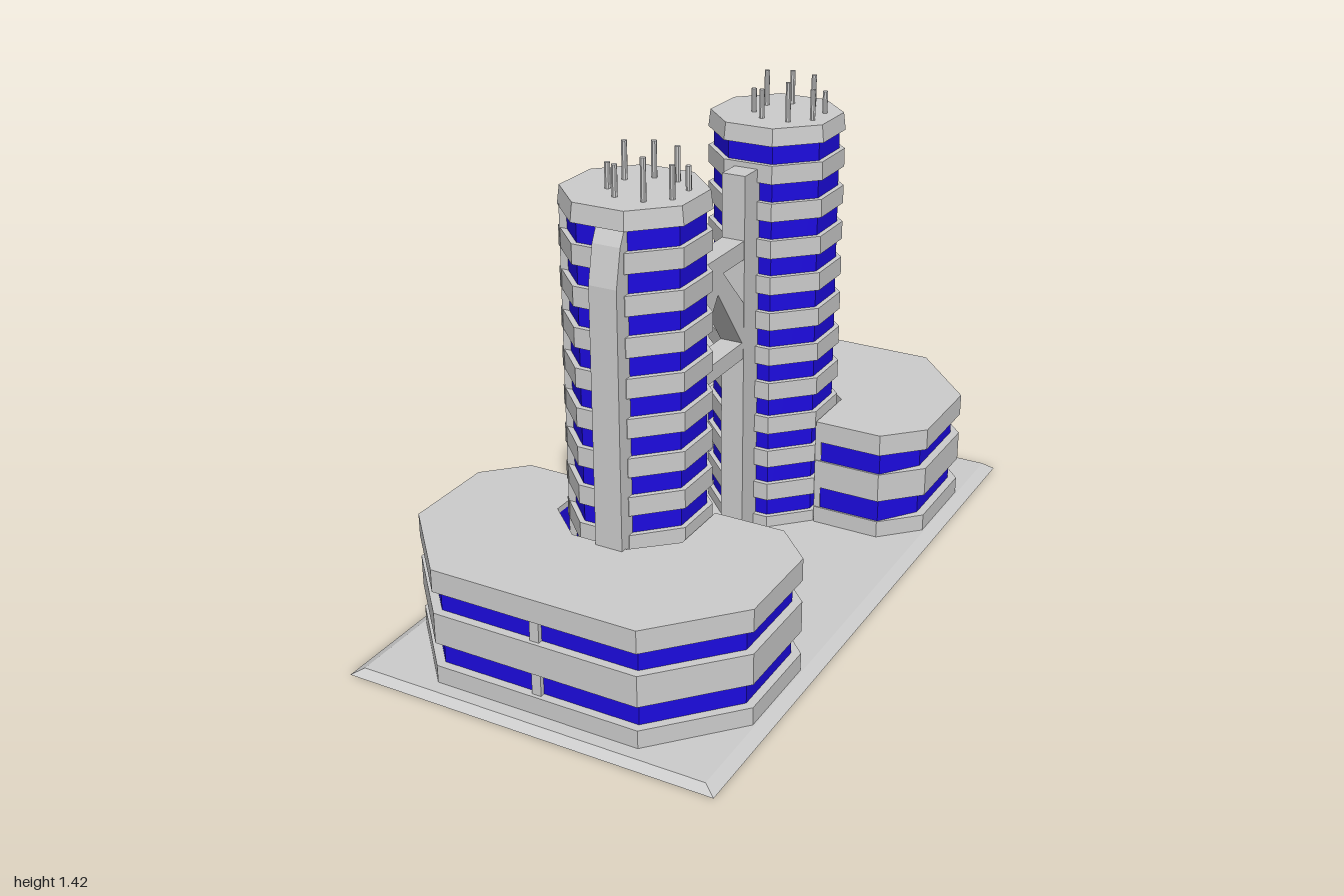
import * as THREE from 'three';

const grey = new THREE.MeshStandardMaterial({ color: 0xcccccc, flatShading: true });
const blue = new THREE.MeshStandardMaterial({ color: 0x1c0adf, flatShading: true });
const MID = -0.015; // the two halves mirror about this z

function add(parent, name, geometry, material = grey) {
  const mesh = new THREE.Mesh(geometry, material);
  mesh.name = name;
  parent.add(mesh);
  return mesh;
}

function box(x0, x1, y0, y1, za, zb) {
  return new THREE.BoxGeometry(x1 - x0, y1 - y0, Math.abs(zb - za))
    .translate((x0 + x1) / 2, (y0 + y1) / 2, (za + zb) / 2);
}

// Octagonal slab with flat sides on the axes; half sizes are measured across the flats
function octagon(y0, y1, halfBottom, halfTop = halfBottom) {
  const k = 1 / Math.cos(Math.PI / 8);
  return new THREE.CylinderGeometry(halfTop * k, halfBottom * k, y1 - y0, 8)
    .rotateY(Math.PI / 8).translate(0, (y0 + y1) / 2, 0);
}

const toShape = (pts) => new THREE.Shape(pts.map(([a, b]) => new THREE.Vector2(a, b)));

// Plan outline [x, z] raised from y0 to y1
function slab(outline, y0, y1) {
  return new THREE.ExtrudeGeometry(toShape(outline.map(([x, z]) => [x, -z])), { depth: y1 - y0, bevelEnabled: false })
    .rotateX(-Math.PI / 2).translate(0, y0, 0);
}

// Side outline [z, y] extruded along x
function sidePlate(shape, x0, x1) {
  return new THREE.ExtrudeGeometry(shape, { depth: x1 - x0, bevelEnabled: false })
    .rotateY(-Math.PI / 2).scale(1, 1, 1).translate(x1, 0, 0);
}

// Half of the podium plan with its notch for the tower, mirrored in x; s picks front or rear
function podiumOutline(s, inset, innerInset) {
  const half = [
    [0.31 - inset * 0.4, 0.953 - inset], [0.52 - inset, 0.725 - inset * 0.4],
    [0.52 - inset, 0.44 + inset * 0.4], [0.41, 0.33 + innerInset],
    [0.198, 0.33 + innerInset], [0.198, 0.517], [0.085, 0.62],
  ];
  const pts = [...half, ...half.map(([x, d]) => [-x, d]).reverse()];
  return pts.map(([x, d]) => [x, MID + s * d]);
}

function podium(s) {
  const g = new THREE.Group();
  g.name = 'podium';
  add(g, 'podiumWindows', slab(podiumOutline(s, 0.025, 0.006), 0.03, 0.35), blue);
  for (const [y0, y1] of [[0.02, 0.073], [0.143, 0.235], [0.3, 0.367]]) {
    add(g, 'podiumBand', slab(podiumOutline(s, 0, 0), y0, y1));
  }
  add(g, 'podiumMullion', box(-0.014, 0.014, 0.03, 0.35, MID + s * 0.9, MID + s * 0.942));
  // posts where the windows meet the notch
  for (const x of [-0.205, 0.205]) {
    add(g, 'podiumPost', box(x - 0.01, x + 0.01, 0.03, 0.35, MID + s * 0.333, MID + s * 0.36));
  }
  return g;
}

function tower(s) {
  const g = new THREE.Group();
  g.name = 'tower';
  g.position.set(0.006, 0, MID + s * 0.413);
  add(g, 'towerWindows', octagon(0.02, 1.26, 0.172), blue);
  const pitch = 0.114;
  for (let i = 0; i < 11; i++) {
    const y = i * pitch;
    add(g, 'floorBand', octagon(Math.max(y, 0.01), y + 0.056, 0.187));
  }
  add(g, 'roof', octagon(1.253, 1.305, 0.188, 0.182));
  // corner post on the outer right of the tower
  add(g, 'cornerPost', box(-0.013, 0.013, 0.02, 1.26, -0.012, 0.012))
    .position.set(-0.159, 0, s * 0.083);
  const masts = [
    [-0.055, -0.043, 1.41], [0.135, -0.043, 1.37], [-0.055, 0.042, 1.375], [0.135, 0.042, 1.395],
    [0.005, -0.093, 1.405], [0.075, -0.093, 1.4], [-0.004, 0.092, 1.39], [0.08, 0.092, 1.42],
  ];
  for (const [x, z, top] of masts) {
    const h = top - 1.3;
    add(g, 'mast', new THREE.CylinderGeometry(0.008, 0.008, h, 8).translate(x, 1.3 + h / 2, z));
  }
  return g;
}

// Tall outer fin with a sloped head
function fin(s) {
  const pts = [[0.55, 0.02], [0.637, 0.02], [0.637, 1.11], [0.615, 1.215], [0.595, 1.255], [0.55, 1.255]];
  return sidePlate(toShape(pts.map(([d, y]) => [MID + s * d, y])), 0, 0.082);
}

// Truss bridge: one plate with three triangular openings
function bridge() {
  const e = 0.18;
  const shape = toShape([[-e, 0.615], [e, 0.615], [e, 0.985], [-e, 0.985]]);
  const hole = (pts) => shape.holes.push(new THREE.Path(pts.map(([a, b]) => new THREE.Vector2(a, b))));
  hole([[0, 0.873], [-0.152, 0.668], [0.152, 0.668]]);
  for (const s of [-1, 1]) hole([[s * 0.162, 0.928], [s * 0.032, 0.928], [s * 0.162, 0.79]]);
  return sidePlate(shape, -0.036, 0.036).translate(0, 0, -0.004);
}

export function createModel() {
  const model = new THREE.Group();
  model.name = 'twinTowers';

  // Ground slab with sloped edges
  const base = new THREE.BoxGeometry(1.12, 0.02, 2).translate(0, 0.01, 0);
  const p = base.attributes.position;
  for (let i = 0; i < p.count; i++) {
    if (p.getY(i) > 0.01) {
      p.setX(i, p.getX(i) - Math.sign(p.getX(i)) * 0.034);
      p.setZ(i, p.getZ(i) - Math.sign(p.getZ(i)) * 0.022);
    }
  }
  base.computeVertexNormals();
  add(model, 'groundSlab', base);

  for (const s of [1, -1]) {
    const half = new THREE.Group();
    half.name = s > 0 ? 'frontBuilding' : 'rearBuilding';
    half.add(podium(s), tower(s));
    add(half, 'outerFin', fin(s));
    add(half, 'innerColumn', box(-0.037, 0.037, 0.02, 1.18, -0.004 + s * 0.16, MID + s * 0.25));
    model.add(half);
  }
  add(model, 'trussBridge', bridge());
  return model;
}
